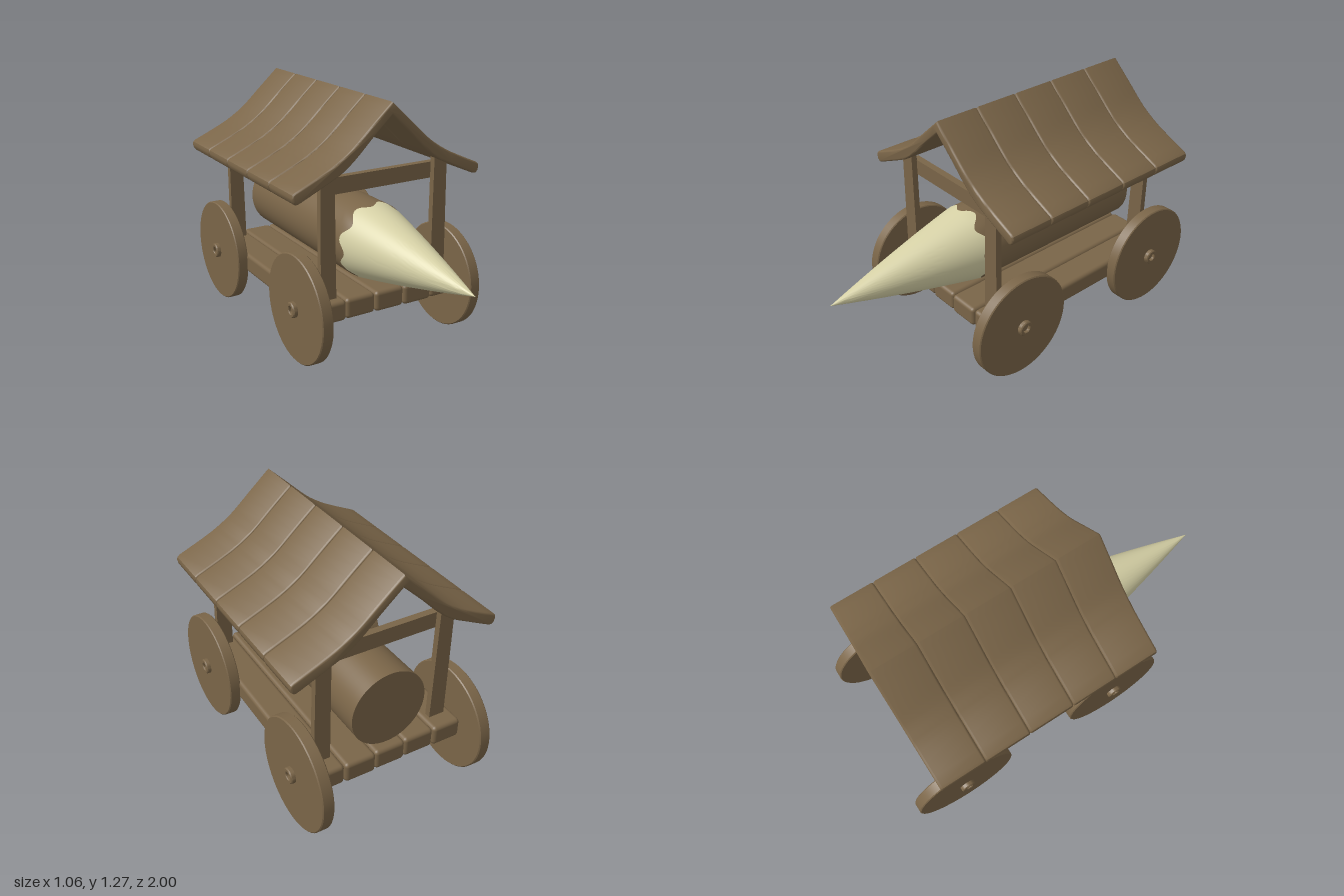
import * as THREE from 'three';
import { toCreasedNormals } from 'three/addons/utils/BufferGeometryUtils.js';
import { RoundedBoxGeometry } from 'three/addons/geometries/RoundedBoxGeometry.js';

const wood = new THREE.MeshStandardMaterial({ color: 0x7a6548 });
const paleWood = new THREE.MeshStandardMaterial({ color: 0xd6d1a6 });

const LOG_R = 0.198, LOG_Y = 0.543, BACK = -0.8, SHOULDER = 0.2, TIP = 1;

// Log radius along z: straight trunk, then a slightly convex point
function logRadius(z) {
  if (z <= SHOULDER) return LOG_R;
  const t = (TIP - z) / (TIP - SHOULDER);
  return LOG_R * (t + 0.16 * t * (1 - t));
}

// Wavy line where the bark meets the carved point
const barkEdge = (a) => 0.21 + 0.024 * Math.sin(8 * a + 0.6) + 0.008 * Math.sin(3 * a);

// Round skin between two z limits, each a function of the angle
function logSkin(from, to, rows) {
  const g = new THREE.CylinderGeometry(1, 1, 1, 96, rows, true).rotateX(Math.PI / 2);
  const p = g.attributes.position;
  for (let i = 0; i < p.count; i++) {
    const a = Math.atan2(p.getY(i), p.getX(i));
    const z = THREE.MathUtils.lerp(from(a), to(a), p.getZ(i) + 0.5);
    const r = logRadius(z);
    p.setXYZ(i, r * Math.cos(a), r * Math.sin(a), z);
  }
  return toCreasedNormals(g, 0.6);
}

export function createModel() {
  const model = new THREE.Group();
  model.name = 'coveredRam';

  function add(parent, name, geometry, x = 0, y = 0, z = 0, material = wood) {
    const mesh = new THREE.Mesh(geometry, material);
    mesh.name = name;
    mesh.position.set(x, y, z);
    parent.add(mesh);
    return mesh;
  }
  function group(name) {
    const g = new THREE.Group();
    g.name = name;
    model.add(g);
    return g;
  }

  // Deck of five long planks
  const deck = group('deck');
  for (let i = -2; i <= 2; i++) {
    const width = Math.abs(i) === 2 ? 0.157 : 0.165;
    const x = i * 0.166 - Math.sign(i) * (0.166 - width) / 2;
    const length = 1.2 + 0.01 * (i % 2);
    add(deck, 'deckPlank', new RoundedBoxGeometry(width, 0.106, length, 3, 0.02), x, 0.283, -0.24);
  }

  // Wheels with hollow hubs, and axles running through the deck
  const wheels = group('wheels');
  const rim = [[0, -0.03], [0.275, -0.03], [0.28, -0.025], [0.28, 0.025], [0.275, 0.03], [0, 0.03]];
  const hub = [[0.04, 0], [0.04, 0.018], [0.035, 0.023], [0.023, 0.023], [0.02, 0.019], [0.02, 0.008], [0, 0.008]];
  const turn = (points, n) => toCreasedNormals(
    new THREE.LatheGeometry(points.map(([r, h]) => new THREE.Vector2(r, h)), n), 0.6);
  for (const z of [0.215, -0.72]) {
    add(wheels, 'axle', new THREE.CylinderGeometry(0.035, 0.035, 0.84, 20).rotateZ(Math.PI / 2), 0, 0.283, z);
    for (const side of [-1, 1]) {
      add(wheels, 'wheel', turn(rim, 64), side * 0.43, 0.283, z).rotation.z = -side * Math.PI / 2;
      add(wheels, 'wheelHub', turn(hub, 24), side * 0.46, 0.283, z).rotation.z = -side * Math.PI / 2;
    }
  }

  // Pointed log
  const log = group('log');
  log.position.y = LOG_Y;
  add(log, 'bark', logSkin(() => BACK, barkEdge, 24));
  add(log, 'carvedPoint', logSkin(barkEdge, () => TIP, 24), 0, 0, 0, paleWood);
  add(log, 'logEnd', new THREE.CircleGeometry(LOG_R, 96).rotateY(Math.PI), 0, 0, BACK);

  // Two frames: tapered posts with a cross beam on the inner face
  const frames = group('frames');
  for (const [z, inward] of [[0.295, -1], [-0.74, 1]]) {
    for (const side of [-1, 1]) {
      const post = new THREE.BoxGeometry(0.08, 0.64, 0.032);
      const p = post.attributes.position;
      for (let i = 0; i < p.count; i++) p.setX(i, p.getX(i) * (p.getY(i) < 0 ? 1.07 : 0.94));
      add(frames, 'post', post, side * 0.323, 0.645, z);
    }
    add(frames, 'crossBeam', new THREE.BoxGeometry(0.64, 0.082, 0.036), 0, 0.89, z + inward * 0.033);
  }

  // Swept gable roof made of five bevelled courses
  const roof = group('roof');
  const sweep = (points) => new THREE.SplineCurve(points.map(([x, y]) => new THREE.Vector2(x, y))).getPoints(14);
  const top = sweep([[0, 1.272], [0.11, 1.172], [0.21, 1.08], [0.28, 1.03], [0.36, 0.985], [0.515, 0.915]]);
  const eave = [[0.527, 0.906], [0.531, 0.89], [0.525, 0.869], [0.513, 0.857], [0.5, 0.858]]
    .map(([x, y]) => new THREE.Vector2(x, y));
  const under = sweep([[0.485, 0.864], [0.36, 0.922], [0.27, 0.967], [0.19, 1.03], [0.1, 1.118], [0, 1.21]]);
  const half = [...top, ...eave, ...under];
  const mirrored = half.slice(1, -1).reverse().map((v) => new THREE.Vector2(-v.x, v.y));
  const outline = new THREE.Shape([...half, ...mirrored]);
  const bevel = 0.012, course = 1.205 / 5;
  const courseGeometry = toCreasedNormals(new THREE.ExtrudeGeometry(outline, {
    depth: course - 2 * bevel, bevelThickness: bevel, bevelSize: 0.009, bevelOffset: -0.009, bevelSegments: 3,
  }), 0.6);
  for (let i = 0; i < 5; i++) add(roof, 'roofCourse', courseGeometry, 0, 0, -0.845 + i * course + bevel);

  return model;
}
